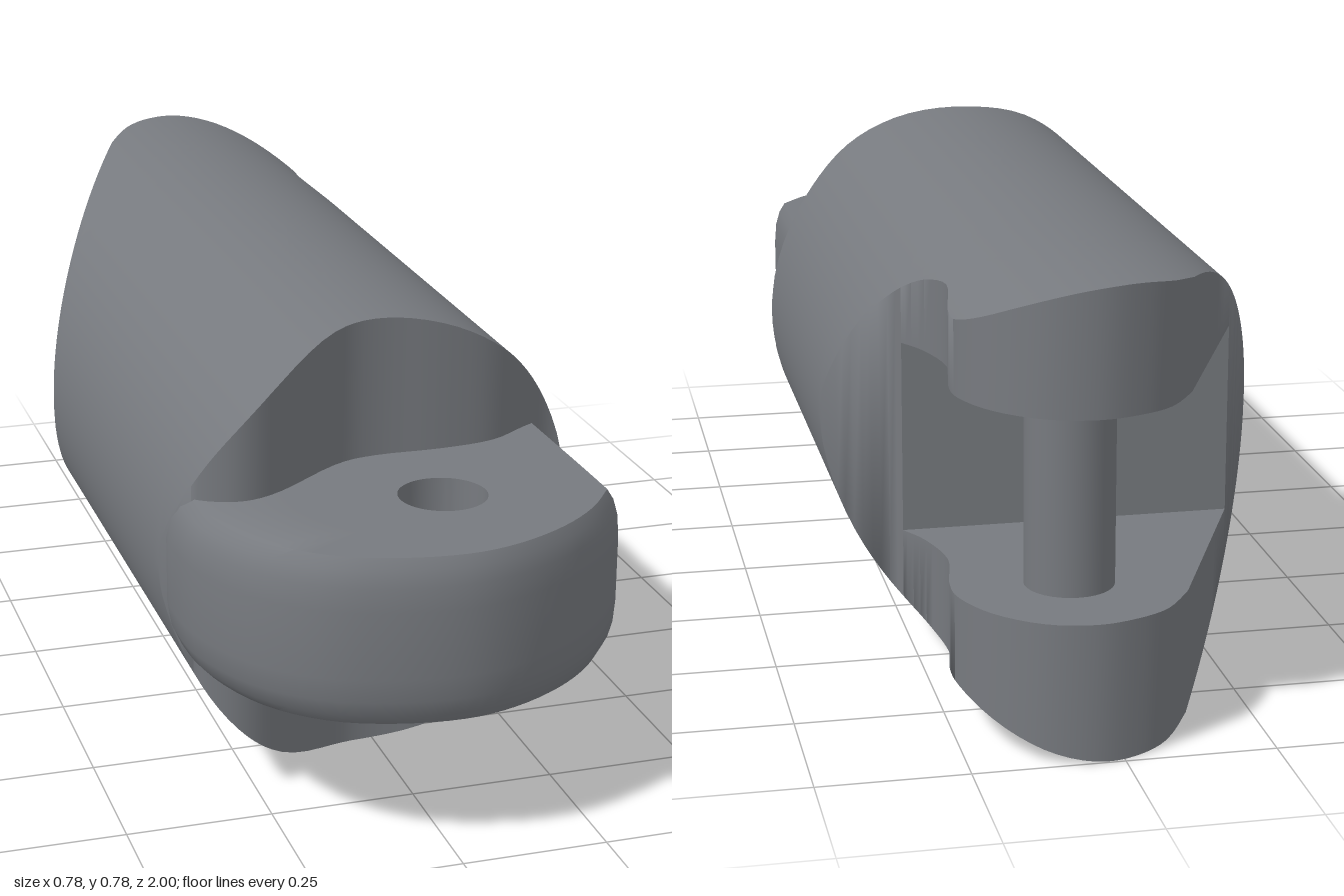
import * as THREE from 'three';
import { toCreasedNormals } from 'three/addons/utils/BufferGeometryUtils.js';

const R = 0.39; // radius of the round stock the part is cut from
const under = (x) => R - Math.sqrt(Math.max(0, R * R - x * x));
const over = (x) => 2 * R - under(x);
const flat = (y) => () => y;

// Closed plan outline [x, z] from runs of points; runs of two are straight
function outline(...runs) {
  const pts = runs.flatMap((run) =>
    new THREE.SplineCurve(run.map(([x, z]) => new THREE.Vector2(x, z)))
      .getPoints(run.length > 2 ? (run.length - 1) * 4 : 16).slice(0, -1));
  return THREE.ShapeUtils.area(pts) > 0 ? pts.reverse() : pts;
}

// Sweeps a profile of [t, height] around a plan outline.
// t = -1 is the centre, 0 the hole rim and 1 the outline.
function sweep(plan, cx, cz, hole, profile, closed) {
  const pos = [], idx = [], n = plan.length, m = profile.length;
  for (const p of plan) {
    const dx = p.x - cx, dz = p.y - cz, len = Math.hypot(dx, dz);
    for (const [t, height] of profile) {
      const r = (t < 0 ? hole * (1 + t) : hole + (len - hole) * t) / len;
      let x = cx + dx * r;
      const y = height(x);
      const limit = Math.sqrt(Math.max(0, R * R - (y - R) ** 2)) + 1e-5;
      x = THREE.MathUtils.clamp(x, -limit, limit);
      pos.push(x, y, cz + dz * r);
    }
  }
  for (let u = 0; u < n; u++) {
    for (let v = 0; v < (closed ? m : m - 1); v++) {
      const u2 = (u + 1) % n, v2 = (v + 1) % m;
      const a = u * m + v, b = u * m + v2, c = u2 * m + v2, d = u2 * m + v;
      idx.push(a, b, d, b, c, d);
    }
  }
  const g = new THREE.BufferGeometry();
  g.setAttribute('position', new THREE.Float32BufferAttribute(pos, 3));
  g.setIndex(idx);
  return toCreasedNormals(g, 0.9);
}

// Profile steps from the centre (or rim) out to the outline
const outward = (from, height, n = 16) => Array.from({ length: n + 1 }, (_, i) =>
  [from + (1 - from) * Math.sin((i / n) * Math.PI / 2), height]);
const inward = (from, height, n) => outward(from, height, n).reverse();

export function createModel() {
  const group = new THREE.Group();
  const metal = new THREE.MeshStandardMaterial({ color: 0x777a7f });
  metal.name = 'dark grey metal';
  const add = (name, geometry) => {
    const mesh = new THREE.Mesh(geometry, metal);
    mesh.name = name;
    group.add(mesh);
    return mesh;
  };

  // Round body with a wavy front edge
  const bodyPlan = outline(
    [[-0.3, -0.5], [-0.39, -0.3]],
    [[-0.39, -0.3], [-0.39, 0.55]],
    [[-0.39, 0.55], [-0.37, 0.61], [-0.33, 0.65], [-0.27, 0.667], [-0.2, 0.64], [-0.08, 0.55],
      [0, 0.525], [0.12, 0.525], [0.22, 0.51], [0.3, 0.46], [0.35, 0.435], [0.39, 0.43]],
    [[0.39, 0.43], [0.39, -0.3]],
    [[0.39, -0.3], [0.37, -0.37], [0.32, -0.44], [0.275, -0.5]],
    [[0.275, -0.5], [-0.3, -0.5]]);
  add('body', sweep(bodyPlan, 0, 0, 0, [...outward(0, over, 24), ...inward(0, under, 24)], false));

  // Two fork arms at the back; the lower one has a pin socket underneath
  const armPlan = outline(
    [[-0.3, -0.5], [-0.13, -0.88]],
    [[-0.13, -0.88], [-0.08, -0.95], [-0.02, -0.985], [0.05, -1], [0.13, -0.98], [0.2, -0.92],
      [0.24, -0.84], [0.243, -0.77], [0.225, -0.66], [0.245, -0.56], [0.275, -0.5]],
    [[0.275, -0.5], [-0.3, -0.5]]);
  add('upperForkArm', sweep(armPlan, 0.05, -0.8, 0.1,
    [...outward(-1, over), ...inward(-1, flat(0.57), 2)], false));
  const rim = (x) => Math.max(0.04, under(x));
  add('lowerForkArm', sweep(armPlan, 0.05, -0.8, 0.105,
    [...outward(-1, flat(0.235), 2), ...inward(0.3, under), [0, rim], [0, flat(0.13)], [-1, flat(0.13)]], false));

  // Hinge pin between the arms
  add('hingePin', new THREE.CylinderGeometry(0.075, 0.075, 0.4, 32)).position.set(0.05, 0.4, -0.803);

  // Front tongue with softened edges and a pin hole
  const tonguePlan = outline(
    [[-0.36, 0.4], [-0.385, 0.6]],
    [[-0.385, 0.6], [-0.375, 0.72], [-0.32, 0.85], [-0.23, 0.94], [-0.12, 0.985], [0, 1],
      [0.1, 0.98], [0.2, 0.93], [0.28, 0.865], [0.34, 0.79]],
    [[0.34, 0.79], [0.34, 0.4]],
    [[0.34, 0.4], [-0.36, 0.4]]);
  const low = 0.25, high = 0.535;
  const edge = [[0.9, 0], [0.95, 0.018], [0.985, 0.045], [1, 0.085]];
  add('tongue', sweep(tonguePlan, 0.05, 0.73, 0.075, [
    [0, flat(high)], [0.5, flat(high)],
    ...edge.map(([t, d]) => [t, flat(high - d)]),
    ...edge.map(([t, d]) => [t, flat(low + d)]).reverse(),
    [0.5, flat(low)], [0, flat(low)]], true));

  return group;
}
